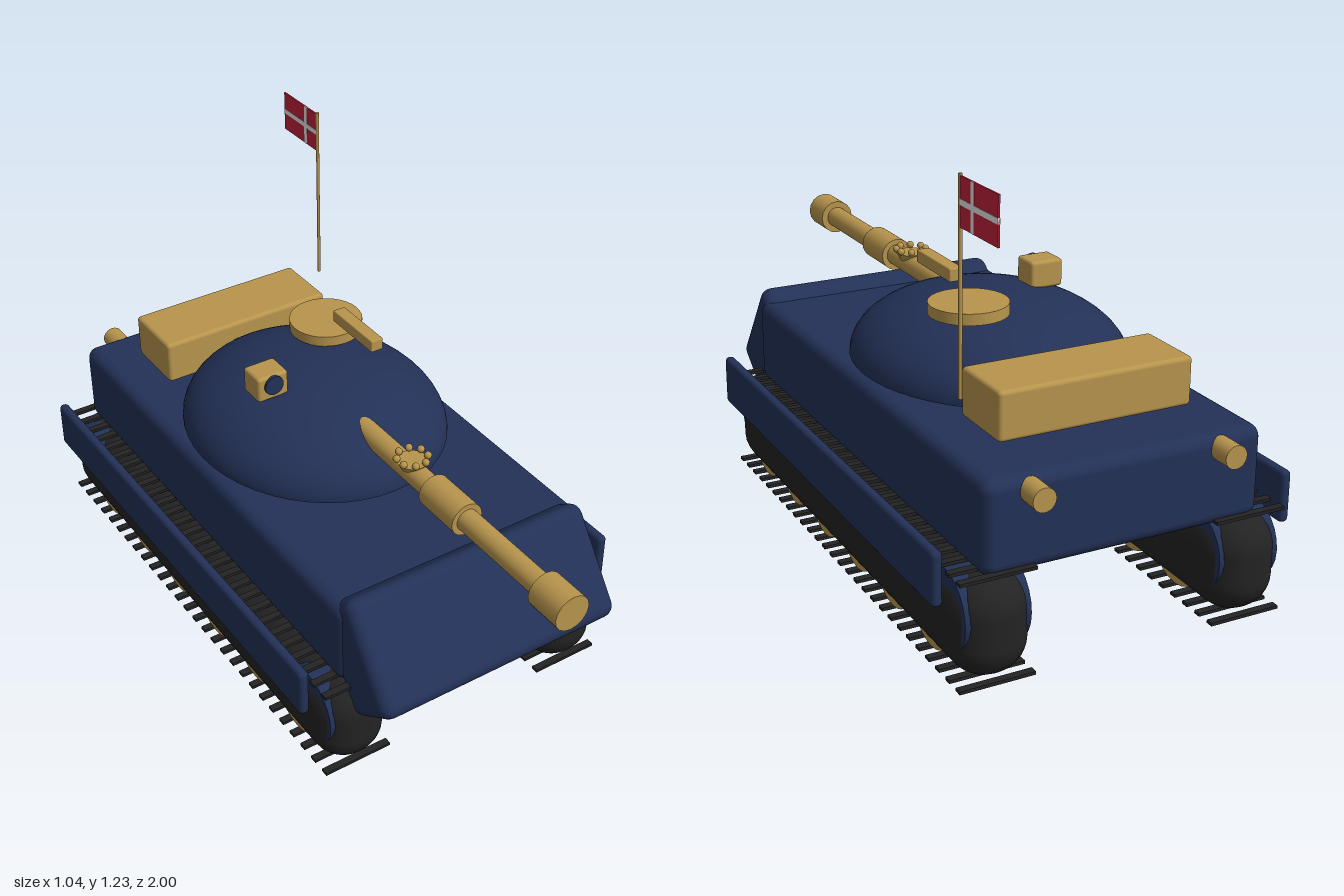
import * as THREE from 'three';
import { RoundedBoxGeometry } from 'three/addons/geometries/RoundedBoxGeometry.js';

const paint = (name, color) => Object.assign(new THREE.MeshStandardMaterial({ color }), { name });

export function createModel() {
  const navy = paint('navy', 0x233157);
  const gold = paint('gold', 0xb8954d);
  const black = paint('trackBlack', 0x232323);
  const red = paint('flagRed', 0xc02038);
  const white = paint('flagWhite', 0xf2f2f2);

  const model = new THREE.Group();
  model.name = 'tank';

  const add = (name, geo, mat, x, y, z, parent = model) => {
    const mesh = new THREE.Mesh(geo, mat);
    mesh.name = name;
    mesh.position.set(x, y, z);
    parent.add(mesh);
    return mesh;
  };
  const rbox = (w, h, d, r, seg = 3) => new RoundedBoxGeometry(w, h, d, seg, r);
  const cylX = (r, len) => new THREE.CylinderGeometry(r, r, len, 24).rotateZ(Math.PI / 2);
  const cylZ = (r, len, seg = 24) => new THREE.CylinderGeometry(r, r, len, seg).rotateX(Math.PI / 2);

  // Hull and sloped front plate
  add('hull', rbox(0.8, 0.255, 1.51, 0.035), navy, 0, 0.407, -0.183);
  const glacis = add('frontPlate', rbox(0.78, 0.335, 0.2, 0.035), navy, 0, 0.384, 0.597);
  glacis.rotation.x = -0.63;

  // Running gear, mirrored on both sides
  for (const side of [1, -1]) {
    const gear = new THREE.Group();
    gear.name = side > 0 ? 'leftTrack' : 'rightTrack';
    gear.position.x = 0.365 * side;
    model.add(gear);

    add('trackBelt', rbox(0.21, 0.28, 1.61, 0.1, 4), black, 0, 0.148, -0.175, gear);
    for (const z of [0.49, -0.84]) add('sprocket', cylX(0.112, 0.18), navy, 0, 0.175, z, gear);
    for (let i = 0; i < 6; i++) {
      add('roadWheel', cylX(0.115, 0.165), gold, 0, 0.138, 0.41 - i * 0.231, gear);
    }

    // Track pads along the ground and the upper run
    const pad = new THREE.BoxGeometry(0.21, 0.009, 0.022);
    for (let i = 0; i < 28; i++) {
      const z = 0.59 - i * 0.0567;
      add('groundPad', pad, black, 0, 0.0055, z, gear);
      add('upperPad', pad, black, 0, 0.294, z, gear);
    }

    add('sideSkirt', rbox(0.03, 0.148, 1.47, 0.013), navy, 0.507 * side, 0.298, -0.175);
    add('exhaust', cylZ(0.032, 0.09), gold, 0.272 * side, 0.495, -0.955);
  }

  // Turret dome and rear stowage bin
  const dome = new THREE.SphereGeometry(1, 48, 20, 0, Math.PI * 2, 0, Math.PI / 2);
  dome.scale(0.38, 0.192, 0.43);
  add('turret', dome, navy, 0, 0.55, -0.195);
  const base = new THREE.CircleGeometry(1, 48).rotateX(Math.PI / 2).scale(0.38, 1, 0.43);
  add('turretBase', base, navy, 0, 0.55, -0.195);
  add('stowageBin', rbox(0.56, 0.135, 0.205, 0.012), gold, 0, 0.622, -0.682);

  // Roof hatch, roof gun and sight
  add('hatch', new THREE.CylinderGeometry(0.11, 0.11, 0.032, 32), gold, 0.14, 0.754, -0.348);
  add('roofGun', rbox(0.04, 0.038, 0.205, 0.004), gold, 0.14, 0.821, -0.173);
  add('sight', rbox(0.1, 0.08, 0.085, 0.01), gold, -0.175, 0.76, -0.172);
  add('sightLens', cylZ(0.03, 0.01), navy, -0.175, 0.768, -0.128);

  // Main gun
  add('barrel', cylZ(0.033, 1.0), gold, 0, 0.67, 0.45);
  add('barrelSleeve', cylZ(0.049, 0.152), gold, 0, 0.67, 0.488);
  add('muzzle', cylZ(0.053, 0.11, 16), gold, 0, 0.67, 0.945);

  // Crown ornament on the barrel
  const crown = new THREE.Group();
  crown.name = 'crown';
  crown.position.set(0, 0.69, 0.31);
  model.add(crown);
  add('crownBand', new THREE.CylinderGeometry(0.045, 0.025, 0.034, 20), gold, 0, 0, 0, crown);
  for (let i = 0; i < 8; i++) {
    const a = (i + 0.5) * Math.PI / 4;
    add('crownBead', new THREE.SphereGeometry(0.011, 12, 8), gold,
      0.044 * Math.cos(a), 0.027, 0.044 * Math.sin(a), crown);
  }

  // Flag on its pole
  add('flagPole', new THREE.CylinderGeometry(0.005, 0.005, 0.56, 10), gold, 0.36, 0.95, -0.735);
  add('flag', new THREE.BoxGeometry(0.005, 0.124, 0.187), red, 0.36, 1.163, -0.832);
  add('flagCrossBar', new THREE.BoxGeometry(0.007, 0.015, 0.187), white, 0.36, 1.163, -0.832);
  add('flagCrossUpright', new THREE.BoxGeometry(0.007, 0.124, 0.015), white, 0.36, 1.163, -0.8);

  return model;
}
